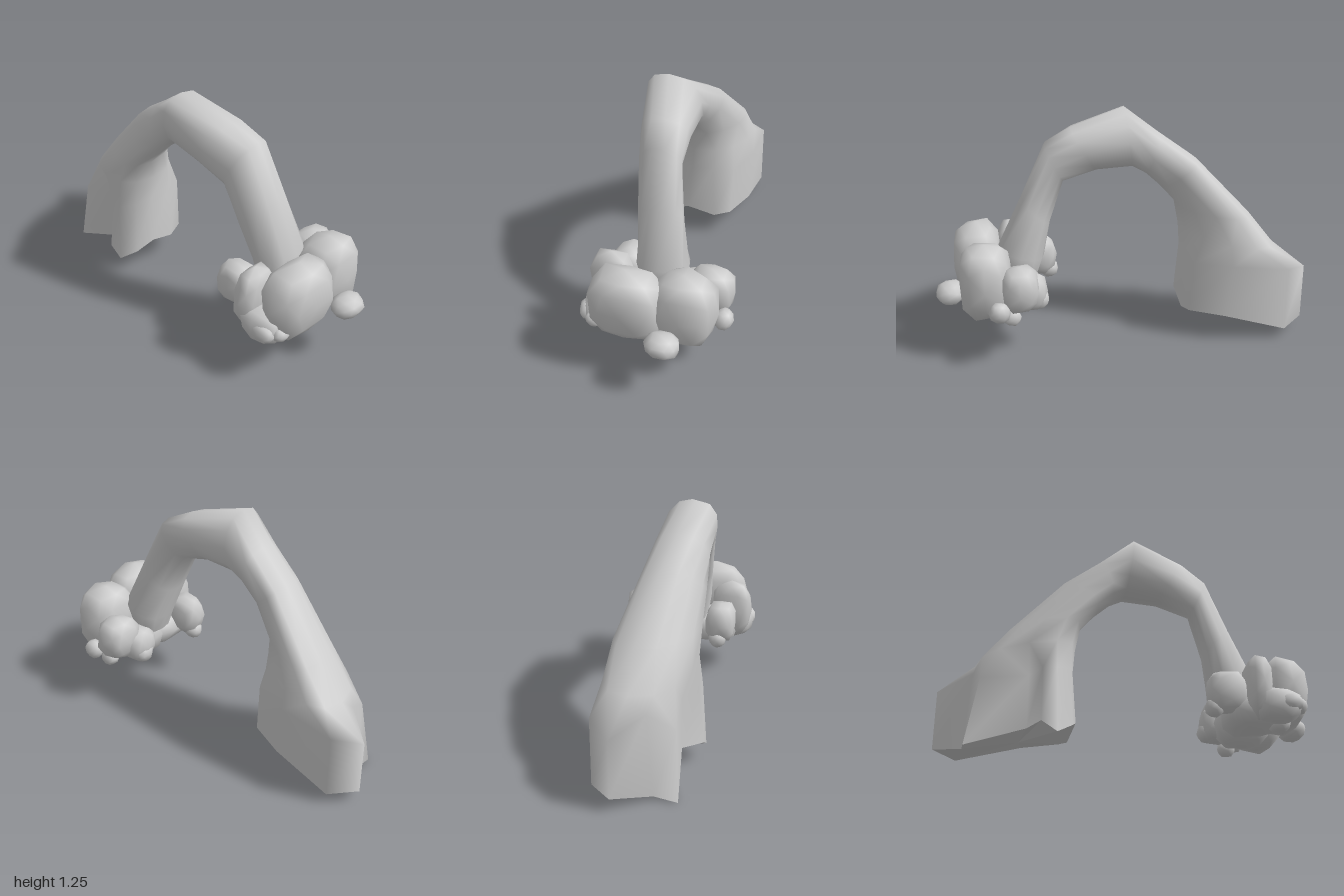
import * as THREE from 'three';
import { mergeVertices } from 'three/addons/utils/BufferGeometryUtils.js';

const N = 12;
const smooth = new THREE.MeshStandardMaterial({ color: 0xcccccc, side: THREE.DoubleSide });
const faceted = new THREE.MeshStandardMaterial({ color: 0xcccccc, side: THREE.DoubleSide, flatShading: true });

// Rounds a unit circle or sphere out towards a box
const boxy = (t, power) => Math.sign(t) * Math.abs(t) ** power;

function makeMesh(name, points, index, material) {
  const g = new THREE.BufferGeometry();
  g.setAttribute('position', new THREE.Float32BufferAttribute(points.flat(), 3));
  g.setIndex(index);
  g.computeVertexNormals();
  const m = new THREE.Mesh(g, material);
  m.name = name;
  return m;
}

// Boxy ring: outer edge (x, y), inner edge (x, y), front z, back z, backward lean of the outer edge
function ring([ox, oy, ix, iy, zf, zb, lean = 0]) {
  return Array.from({ length: N }, (_, i) => {
    const a = (i / N) * Math.PI * 2;
    const c = boxy(Math.cos(a), 0.85), s = boxy(Math.sin(a), 0.85);
    return [
      (ox + ix) / 2 + ((ix - ox) / 2) * c,
      (oy + iy) / 2 + ((iy - oy) / 2) * c,
      (zf + zb) / 2 + ((zf - zb) / 2) * s + lean * c,
    ];
  });
}

// Pebble: an icosphere squared off and pushed in and out by a fixed wave
function blob(name, [x, y, z], [rx, ry, rz], seed, power) {
  let g = new THREE.IcosahedronGeometry(1, 1);
  g.deleteAttribute('normal');
  g.deleteAttribute('uv');
  g = mergeVertices(g, 1e-3);
  const p = g.attributes.position;
  for (let i = 0; i < p.count; i++) {
    const k = 1 + 0.05 * Math.sin(i * 2.4 + seed * 1.7);
    p.setXYZ(i, boxy(p.getX(i), power) * rx * k, boxy(p.getY(i), power) * ry * k, boxy(p.getZ(i), power) * rz * k);
  }
  g.computeVertexNormals();
  const m = new THREE.Mesh(g, smooth);
  m.name = name;
  m.position.set(x, y, z);
  return m;
}

export function createModel() {
  const model = new THREE.Group();
  model.name = 'archedTrunk';

  // Flared, fluted foot of the trunk
  const foot = [
    [-0.31, 0.19, 0.12], [-0.34, 0.14, 0.22], [-0.42, 0.08, 0.28], [-0.5, 0.13, 0.28],
    [-0.56, 0.12, 0.18], [-0.86, 0, 0.22], [-0.86, 0.02, 0.1], [-1, 0.07, -0.08],
    [-0.88, 0.06, -0.2], [-0.55, 0.15, -0.19], [-0.36, 0.16, -0.12], [-0.33, 0.14, -0.03],
  ];
  const shin = [
    [-0.33, 0.47, 0.1], [-0.35, 0.45, 0.2], [-0.43, 0.42, 0.26], [-0.5, 0.42, 0.25],
    [-0.56, 0.4, 0.18], [-0.8, 0.36, 0.2], [-0.83, 0.44, 0.06], [-1, 0.38, -0.08],
    [-0.88, 0.42, -0.2], [-0.58, 0.45, -0.2], [-0.38, 0.45, -0.13], [-0.33, 0.48, -0.02],
  ];
  // Arch rising to the crown and curving down to the tip
  const rings = [foot, shin, ...[
    [-0.82, 0.52, -0.32, 0.6, 0.23, -0.17, 0.06],
    [-0.68, 0.7, -0.3, 0.72, 0.22, -0.13, 0.08],
    [-0.4, 0.99, -0.21, 0.82, 0.23, -0.06, 0.05],
    [-0.21, 1.12, -0.13, 0.9, 0.24, -0.04, 0.02],
    [-0.03, 1.25, -0.06, 0.95, 0.25, -0.03, -0.03],
    [0.26, 1.17, 0.12, 0.93, 0.22, -0.04, 0.02],
    [0.4, 1.1, 0.3, 0.87, 0.18, -0.04, 0.04],
    [0.53, 0.82, 0.38, 0.65, 0.16, -0.08, 0.03],
    [0.66, 0.55, 0.42, 0.48, 0.14, -0.13],
    [0.62, 0.4, 0.46, 0.37, 0.12, -0.1],
  ].map(ring)];

  const index = [];
  for (let r = 0; r < rings.length - 1; r++) {
    for (let i = 0; i < N; i++) {
      const a = r * N + i, b = r * N + ((i + 1) % N);
      index.push(a, a + N, b, b, a + N, b + N);
    }
  }
  model.add(makeMesh('trunk', rings.flat(), index, smooth));

  // Underside of the foot
  const fan = foot.flatMap((_, i) => [N, i, (i + 1) % N]);
  model.add(makeMesh('footUnderside', [...foot, [-0.58, 0.11, 0]], fan, faceted));

  // Cluster of lumps around the tip: centre, radii
  const cluster = new THREE.Group();
  cluster.name = 'lumpCluster';
  const lumps = [
    [[0.78, 0.43, 0.12], [0.135, 0.2, 0.2]],
    [[0.73, 0.42, -0.16], [0.14, 0.21, 0.165]],
    [[0.46, 0.385, 0.21], [0.11, 0.115, 0.09]],
    [[0.61, 0.41, 0.25], [0.07, 0.17, 0.12]],
    [[0.55, 0.41, -0.25], [0.1, 0.12, 0.12]],
    [[0.5, 0.34, -0.15], [0.09, 0.1, 0.1]],
    [[0.62, 0.31, 0.12], [0.16, 0.1, 0.18]],
    [[0.62, 0.32, -0.06], [0.16, 0.12, 0.14]],
    [[0.7, 0.31, 0.27], [0.13, 0.09, 0.1]],
  ];
  lumps.forEach(([c, r], i) => cluster.add(blob('lump', c, r, i, 0.78)));

  // Small buds poking out between the lumps
  const buds = [
    [[0.75, 0.31, 0.33], [0.07, 0.05, 0.05]],
    [[0.82, 0.31, 0.28], [0.04, 0.04, 0.05]],
    [[0.92, 0.33, -0.1], [0.08, 0.06, 0.09]],
    [[0.39, 0.3, 0.2], [0.05, 0.05, 0.05]],
    [[0.66, 0.32, -0.34], [0.055, 0.055, 0.05]],
    [[0.6, 0.26, -0.28], [0.05, 0.045, 0.045]],
    [[0.45, 0.3, -0.16], [0.05, 0.055, 0.06]],
    [[0.74, 0.25, 0.18], [0.06, 0.05, 0.06]],
  ];
  buds.forEach(([c, r], i) => cluster.add(blob('bud', c, r, i + 20, 0.95)));
  model.add(cluster);
  return model;
}
